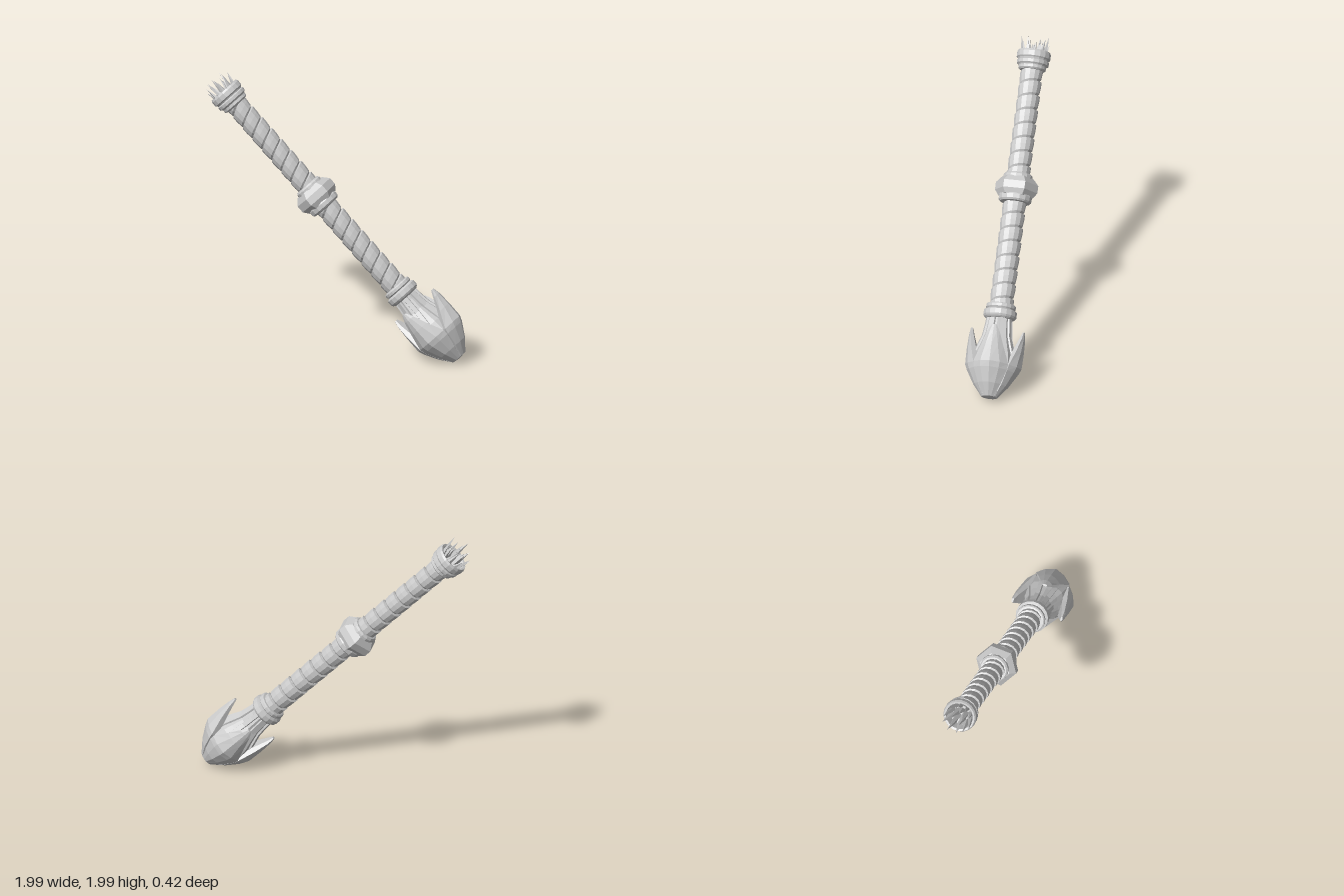
import * as THREE from 'three';

const steel = new THREE.MeshStandardMaterial({ color: 0xcccccc, flatShading: true, side: THREE.DoubleSide });
const smooth = new THREE.MeshStandardMaterial({ color: 0xcccccc, side: THREE.DoubleSide });

function add(parent, name, geometry, material = steel) {
  const mesh = new THREE.Mesh(geometry, material);
  mesh.name = name;
  parent.add(mesh);
  return mesh;
}

// Turned part: profile is [radius, position along the shaft]
const turned = (profile, sides) =>
  new THREE.LatheGeometry(profile.map(([r, y]) => new THREE.Vector2(r, y)), sides);

// Skin over equal-sized cross-sections; closed rings get end caps
function loft(rings, closed = true) {
  const n = rings[0].length, index = [];
  const spans = closed ? n : n - 1;
  for (let i = 0; i < rings.length - 1; i++)
    for (let j = 0; j < spans; j++) {
      const a = i * n + j, b = i * n + (j + 1) % n;
      index.push(a, a + n, b, b, a + n, b + n);
    }
  if (closed) {
    const last = (rings.length - 1) * n;
    for (let j = 1; j < n - 1; j++) index.push(0, j, j + 1, last, last + j + 1, last + j);
  }
  const g = new THREE.BufferGeometry();
  g.setAttribute('position', new THREE.Float32BufferAttribute(rings.flat(2), 3));
  g.setIndex(index);
  g.computeVertexNormals();
  return g;
}

// Overlapping helical strip, leaning slightly so it slants more on the front
function wrapping(from, to, r0, r1) {
  const pitch = 0.105, steps = 14, rings = [];
  const section = [[0, -0.012], [0.05, 0.004], [0.45, 0.003], [0.86, -0.002], [1, -0.014]];
  const turns = (to - from) / pitch;
  for (let i = 0; i <= turns * steps; i++) {
    const turn = i / steps, a = turn * Math.PI * 2;
    const r = THREE.MathUtils.lerp(r0, r1, turn / turns);
    rings.push(section.map(([t, dr]) => [
      (r + dr) * Math.cos(a),
      from + pitch * (turn + t - 0.5) - 0.015 * Math.cos(a),
      -(r + dr) * Math.sin(a),
    ]));
  }
  return loft(rings, false);
}

// Hooked plate: its point lies free beside the neck, its base closes the head
function clawGeometry() {
  // [along, ridge height, half width, edge height, inner height]
  const stations = [
    [1.05, 0.215, 0.018, 0.208, 0.198],
    [1.10, 0.223, 0.045, 0.203, 0.182],
    [1.20, 0.227, 0.082, 0.180, 0.145],
    [1.32, 0.224, 0.128, 0.142, 0.090],
    [1.36, 0.205, 0.122, 0.132, 0.070],
    [1.46, 0.140, 0.082, 0.094, 0.040],
    [1.545, 0.064, 0.036, 0.046, 0.010],
  ];
  return loft(stations.map(([y, ridge, w, edge, inner]) => [
    [ridge, y, 0], [(ridge * 0.65 + edge * 0.35), y, w * 0.55], [edge, y, w],
    [inner, y, w * 0.75], [inner, y, -w * 0.75],
    [edge, y, -w], [(ridge * 0.65 + edge * 0.35), y, -w * 0.55],
  ]));
}

export function createModel() {
  const model = new THREE.Group();
  model.name = 'mace';

  // Local y runs down the shaft to the head, local x is the upper side
  const mace = new THREE.Group();
  mace.name = 'tiltedMace';
  const k = Math.SQRT1_2;
  mace.quaternion.setFromRotationMatrix(new THREE.Matrix4().makeBasis(
    new THREE.Vector3(k, k, 0), new THREE.Vector3(k, -k, 0), new THREE.Vector3(0, 0, -1)));
  mace.position.set(-0.144, 1.134, 0);
  model.add(mace);

  // Shaft core and the two wrapped grips
  add(mace, 'shaftCore', new THREE.CylinderGeometry(0.071, 0.062, 1.9, 16), smooth);
  add(mace, 'upperWrap', wrapping(-0.93, -0.03, 0.077, 0.081));
  add(mace, 'lowerWrap', wrapping(0.05, 0.93, 0.081, 0.084));

  // Hollow end cup
  add(mace, 'endCup', turned([
    [0, -0.95], [0.088, -0.95], [0.1, -1.01], [0.115, -1.015], [0.123, -1.0], [0.123, -0.965],
    [0.113, -0.957], [0.108, -0.948], [0.118, -0.94], [0.116, -0.918], [0.104, -0.91],
    [0.1, -0.905], [0.1, -0.885], [0.088, -0.875], [0.06, -0.87],
  ], 18));

  // Broken crystal shards standing in the cup
  const shards = new THREE.Group();
  shards.name = 'crystalShards';
  mace.add(shards);
  const up = new THREE.Vector3(0, 1, 0);
  for (let i = 0; i < 15; i++) {
    const outer = i < 10;
    const a = outer ? i / 10 * Math.PI * 2 + 0.2 : i / 5 * Math.PI * 2;
    const foot = outer ? 0.07 : 0.03, reach = outer ? 0.095 + 0.015 * (i % 2) : 0.045;
    const tip = -1.07 - 0.058 * ((i * 7) % 5) / 4;
    const start = new THREE.Vector3(foot * Math.cos(a), -0.94, foot * Math.sin(a));
    const end = new THREE.Vector3(reach * Math.cos(a), tip, reach * Math.sin(a));
    const axis = end.clone().sub(start);
    const shard = add(shards, 'shard', new THREE.ConeGeometry(outer ? 0.026 : 0.03, axis.length(), 4));
    shard.position.copy(start).add(end).multiplyScalar(0.5);
    shard.quaternion.setFromUnitVectors(up, axis.normalize());
  }

  // Six-sided middle collar with a round ring at each end
  add(mace, 'middleCollar', turned([
    [0.07, -0.085], [0.115, -0.08], [0.155, -0.035], [0.155, 0.02], [0.126, 0.06], [0.07, 0.065],
  ], 6));
  add(mace, 'middleUpperRing', turned([
    [0.07, -0.11], [0.095, -0.108], [0.106, -0.095], [0.106, -0.07], [0.07, -0.06],
  ], 16));
  add(mace, 'middleLowerRing', turned([
    [0.07, 0.045], [0.117, 0.05], [0.121, 0.06], [0.119, 0.09], [0.108, 0.102], [0.07, 0.108],
  ], 16));

  // Ringed collar above the head
  add(mace, 'headCollar', turned([
    [0.07, 0.855], [0.1, 0.86], [0.108, 0.868], [0.108, 0.888], [0.099, 0.897],
    [0.11, 0.903], [0.121, 0.91], [0.121, 0.945], [0.112, 0.958], [0.098, 0.968], [0.07, 0.97],
  ], 18));

  // Flared eight-sided head core
  add(mace, 'headCore', turned([
    [0, 0.93], [0.088, 0.95], [0.09, 1.0], [0.102, 1.09], [0.13, 1.17], [0.155, 1.23],
    [0.17, 1.31], [0.158, 1.37], [0.11, 1.46], [0.058, 1.545], [0, 1.553],
  ], 8));

  // Raised straps up the neck, in the gaps between the claws
  const strap = loft([[0.95, 0.093], [1.02, 0.099], [1.1, 0.11], [1.18, 0.138], [1.27, 0.166]]
    .map(([y, r]) => [[r, y, -0.016], [r, y, 0.016], [r - 0.03, y, 0.022], [r - 0.03, y, -0.022]]));
  for (let i = 0; i < 8; i++)
    add(mace, 'neckStrap', strap).rotation.y = (i + 0.5) * Math.PI / 4;

  // Four hooked claws; those on the front and back are a little lower
  const claw = clawGeometry();
  [1, 0.92, 0.93, 0.92].forEach((height, i) => {
    const mesh = add(mace, 'claw', claw);
    mesh.rotation.y = i * Math.PI / 2;
    mesh.scale.x = height;
  });

  return model;
}
